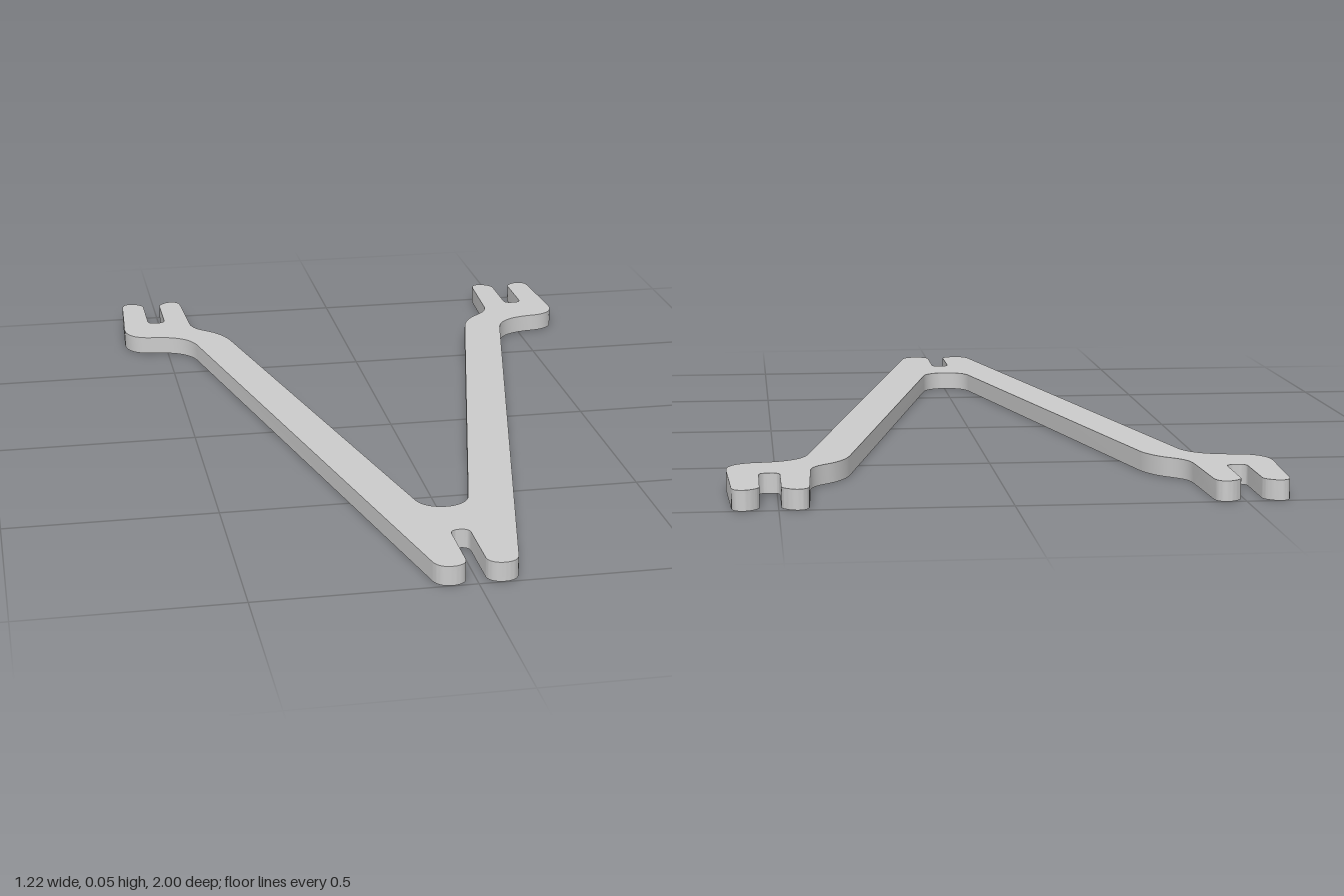
import * as THREE from 'three';
import { toCreasedNormals } from 'three/addons/utils/BufferGeometryUtils.js';

const THICKNESS = 0.045;

// Outline of the +x half, from the front slot round to the inner crotch.
// Drawn in the plane with y = -z.
function halfOutline() {
  const p = new THREE.Path();
  const line = (x, z) => p.lineTo(x, -z);
  const quad = (cx, cz, x, z) => p.quadraticCurveTo(cx, -cz, x, -z);
  const cubic = (ax, az, bx, bz, x, z) => p.bezierCurveTo(ax, -az, bx, -bz, x, -z);

  // front slot and rounded front prong
  p.moveTo(0, -0.803);
  quad(0.022, 0.803, 0.022, 0.825);
  line(0.022, 0.965);
  cubic(0.022, 0.985, 0.038, 0.998, 0.057, 0.998);
  cubic(0.075, 0.998, 0.091, 0.99, 0.096, 0.965);
  // outer edge of the arm, flaring into the rear fork
  line(0.427, -0.595);
  cubic(0.441, -0.652, 0.482, -0.675, 0.54, -0.68);
  cubic(0.59, -0.684, 0.612, -0.715, 0.611, -0.765);
  // outer rear prong
  line(0.6, -0.97);
  cubic(0.598, -1.003, 0.572, -1.006, 0.556, -0.992);
  quad(0.54, -0.98, 0.54, -0.965);
  // rear slot
  line(0.54, -0.83);
  quad(0.54, -0.81, 0.52, -0.81);
  line(0.514, -0.81);
  quad(0.494, -0.81, 0.494, -0.83);
  // inner rear prong
  line(0.494, -0.965);
  quad(0.494, -0.98, 0.478, -0.992);
  cubic(0.462, -1.006, 0.436, -1.003, 0.434, -0.97);
  line(0.426, -0.785);
  // neck and inner edge of the arm
  cubic(0.424, -0.735, 0.39, -0.72, 0.37, -0.697);
  quad(0.343, -0.665, 0.332, -0.62);
  line(0.063, 0.613);
  cubic(0.056, 0.648, 0.03, 0.667, 0, 0.667);
  return p.getPoints(10);
}

export function createModel() {
  const group = new THREE.Group();
  group.name = 'forkedBracket';

  // mirror the half outline to close the V shape
  const half = halfOutline();
  const mirrored = half.slice(1, -1).reverse().map(v => new THREE.Vector2(-v.x, v.y));
  const shape = new THREE.Shape([...half, ...mirrored]);

  const plate = new THREE.ExtrudeGeometry(shape, { depth: THICKNESS, bevelEnabled: false });
  plate.rotateX(-Math.PI / 2);

  const mesh = new THREE.Mesh(
    toCreasedNormals(plate, Math.PI / 6),
    new THREE.MeshStandardMaterial({ color: 0xcccccc })
  );
  mesh.name = 'bracketPlate';
  group.add(mesh);
  return group;
}
